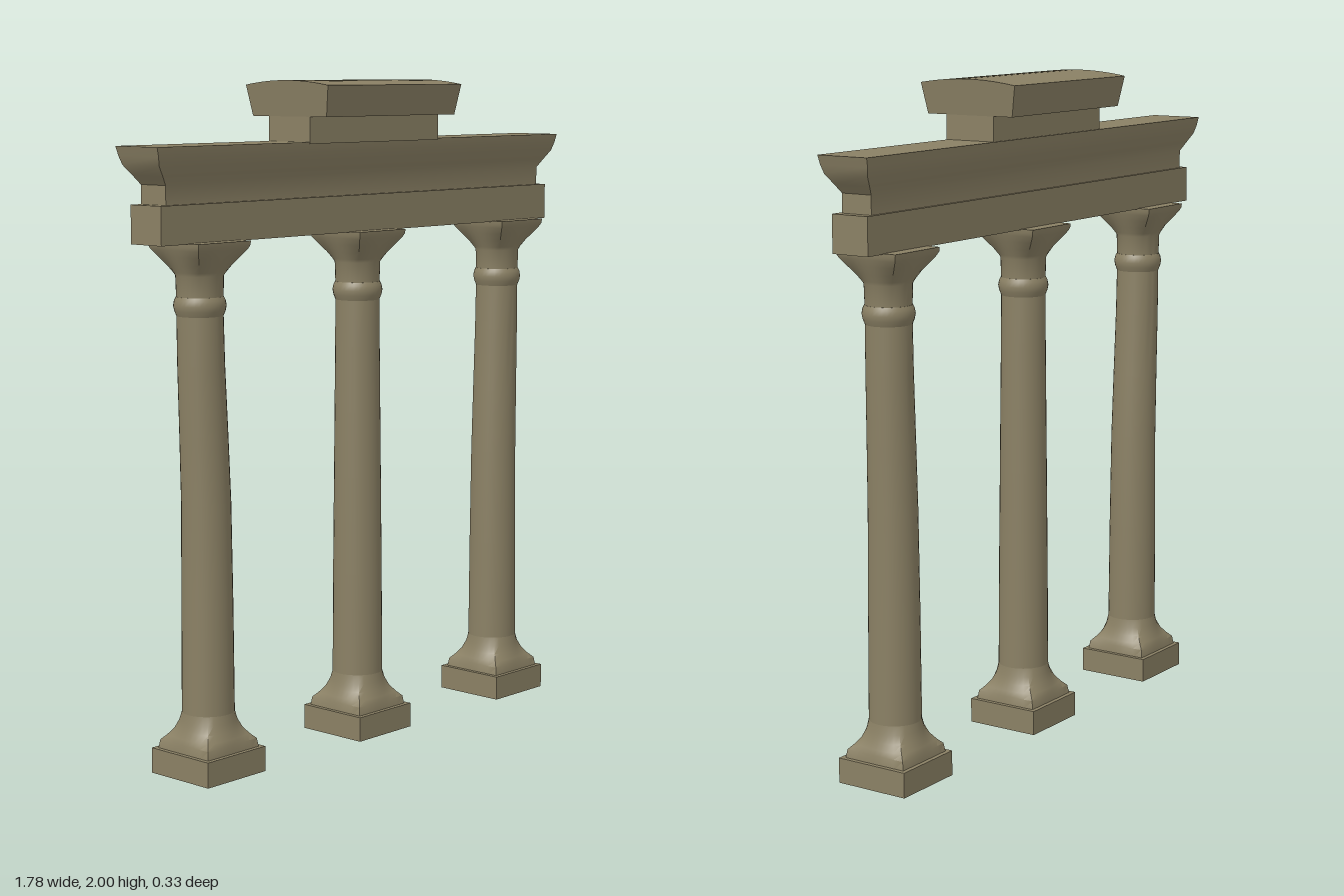
import * as THREE from 'three';
import { toCreasedNormals } from 'three/addons/utils/BufferGeometryUtils.js';

const stone = new THREE.MeshStandardMaterial({ color: 0x8a8064 });
stone.name = 'weathered stone';

// Closed solid through horizontal rings of points, listed from the bottom up
function loft(rings, crease = 0.65) {
  const n = rings[0].length;
  const pos = rings.flat().flatMap((p) => [p.x, p.y, p.z]);
  const index = [];
  for (let i = 0; i < rings.length - 1; i++) {
    for (let j = 0; j < n; j++) {
      const k = (j + 1) % n;
      const a = i * n + j, b = i * n + k, c = (i + 1) * n + k, d = (i + 1) * n + j;
      index.push(a, b, c, a, c, d);
    }
  }
  // End caps as fans around a centre point
  [rings[0], rings[rings.length - 1]].forEach((ring, end) => {
    const centre = ring.reduce((s, p) => s.add(p), new THREE.Vector3()).divideScalar(n);
    const m = pos.length / 3, start = end * (rings.length - 1) * n;
    pos.push(centre.x, centre.y, centre.z);
    for (let j = 0; j < n; j++) {
      const a = start + j, b = start + (j + 1) % n;
      index.push(m, ...(end ? [a, b] : [b, a]));
    }
  });
  const g = new THREE.BufferGeometry();
  g.setAttribute('position', new THREE.Float32BufferAttribute(pos, 3));
  g.setIndex(index);
  return toCreasedNormals(g, crease);
}

function mesh(name, geometry, x = 0, y = 0, z = 0) {
  const m = new THREE.Mesh(geometry, stone);
  m.name = name;
  m.position.set(x, y, z);
  return m;
}

// Ring that blends from a circle (square = 0) to a square (square = 1)
function ring(y, r, square, x) {
  return Array.from({ length: 32 }, (_, i) => {
    const a = (i / 32) * Math.PI * 2, c = Math.cos(a), s = Math.sin(a);
    const k = r * (1 - square + square / Math.max(Math.abs(c), Math.abs(s)));
    return new THREE.Vector3(x + c * k, y, -s * k);
  });
}

const rect = (y, hx, hz) => [[1, 1], [1, -1], [-1, -1], [-1, 1]]
  .map(([sx, sz]) => new THREE.Vector3(sx * hx, y, sz * hz));

// Column: [height, half width, squareness]
const PLINTH = [[0.02, 0.06, 1], [0, 0.07, 1], [0, 0.117, 1], [0.075, 0.117, 1], [0.075, 0.104, 1]];
const FOOT = [[0.07, 0.104, 1], [0.1, 0.102, 0.9], [0.115, 0.096, 0.6], [0.135, 0.088, 0.3], [0.16, 0.081, 0.1], [0.185, 0.077, 0]];
const SHAFT = [[0.185, 0.077, 0], [0.5, 0.075, 0], [0.8, 0.072, 0], [1, 0.07, 0], [1.2, 0.068, 0], [1.345, 0.067, 0]];
const COLLAR = [[1.34, 0.067, 0], [1.355, 0.073, 0], [1.37, 0.076, 0], [1.385, 0.073, 0], [1.395, 0.068, 0]];
const CAPITAL = [[1.39, 0.067, 0], [1.455, 0.069, 0], [1.465, 0.073, 0.1], [1.485, 0.081, 0.35], [1.51, 0.092, 0.7],
  [1.53, 0.099, 0.95], [1.54, 0.102, 1], [1.552, 0.103, 1]];

function column(name, x, lean) {
  const group = new THREE.Group();
  group.name = name;
  // The upper shaft drifts sideways by the lean
  const drift = (y) => lean * THREE.MathUtils.smoothstep(y, 0.7, 1.36);
  const part = (label, rows) =>
    group.add(mesh(label, loft(rows.map(([y, r, q]) => ring(y, r, q, drift(y))))));
  part('plinth', PLINTH);
  part('foot', FOOT);
  part('shaft', SHAFT);
  part('collar', COLLAR);
  part('capital', CAPITAL);
  group.position.x = x;
  return group;
}

// Crowning slab: arched from front to back, wider toward the top
function crownGeometry() {
  const shape = new THREE.Shape();
  shape.moveTo(-0.148, 1.895);
  shape.lineTo(0.148, 1.895);
  shape.lineTo(0.165, 1.986);
  shape.quadraticCurveTo(0.08, 2, 0, 2);
  shape.quadraticCurveTo(-0.08, 2, -0.165, 1.986);
  const g = new THREE.ExtrudeGeometry(shape, { depth: 2, bevelEnabled: false, curveSegments: 8 });
  g.translate(0, 0, -1).rotateY(Math.PI / 2);
  const p = g.attributes.position;
  for (let i = 0; i < p.count; i++) {
    const t = (p.getY(i) - 1.895) / 0.105;
    p.setX(i, p.getX(i) * (0.286 + 0.014 * t));
  }
  return toCreasedNormals(g, 0.5);
}

export function createModel() {
  const model = new THREE.Group();
  model.name = 'colonnade';

  model.add(column('rightColumn', -0.636, -0.019));
  model.add(column('middleColumn', 0.01, 0));
  model.add(column('leftColumn', 0.672, 0.011));

  // Beam resting on the capitals
  model.add(mesh('architrave', new THREE.BoxGeometry(1.712, 0.11, 0.122), -0.003, 1.605, 0));

  // Cornice: [height, half length, half depth]
  const cornice = [[1.66, 0.826, 0.05], [1.715, 0.826, 0.05], [1.74, 0.846, 0.061],
    [1.77, 0.872, 0.074], [1.795, 0.88, 0.081], [1.822, 0.888, 0.084]];
  model.add(mesh('cornice', loft(cornice.map((row) => rect(...row))), -0.002, 0, -0.002));

  // Raised centre block with its slab
  model.add(mesh('attic', new THREE.BoxGeometry(0.572, 0.08, 0.166), -0.002, 1.857, 0.002));
  model.add(mesh('crownSlab', crownGeometry(), -0.002, 0, 0.002));
  return model;
}
